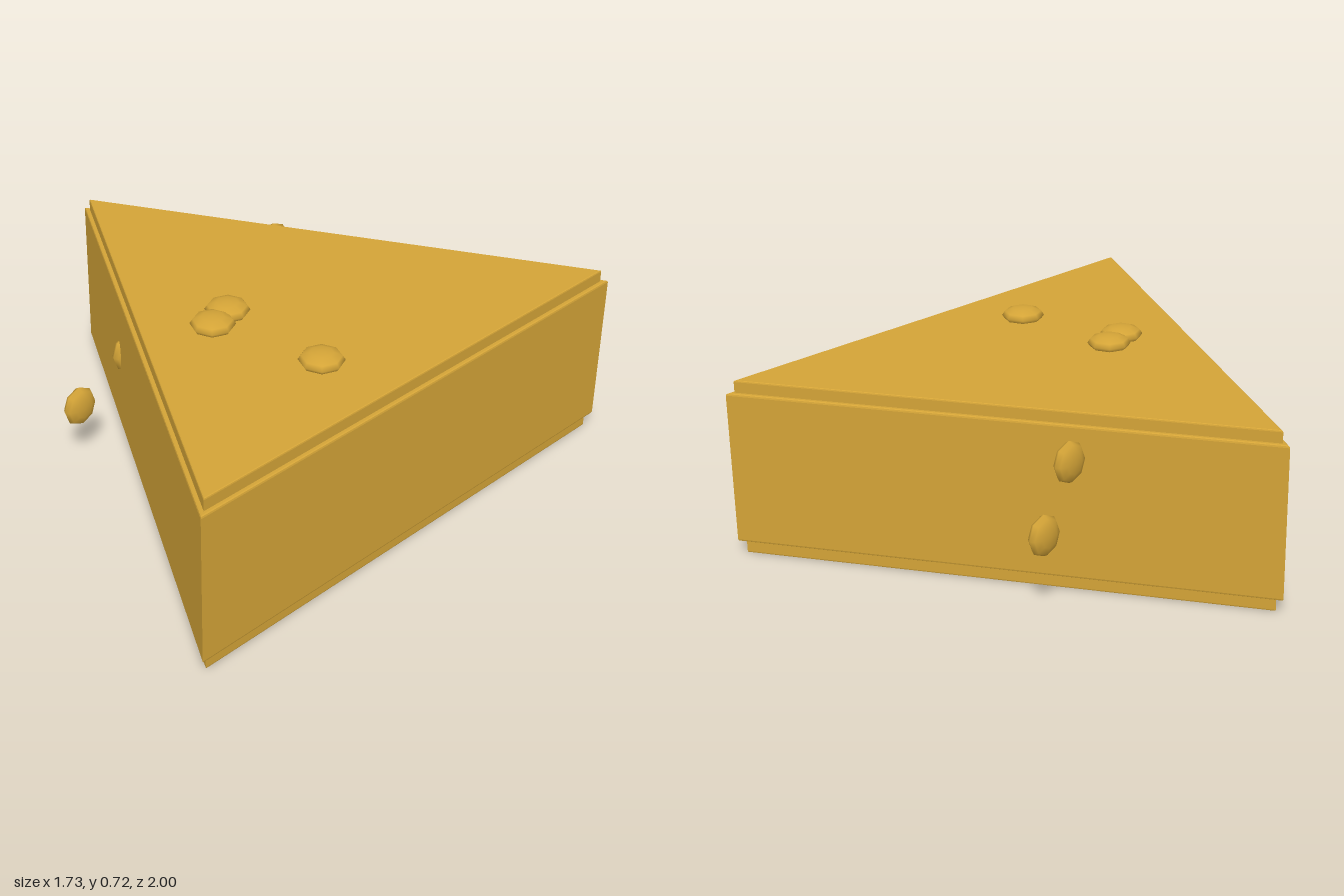
import * as THREE from 'three';

// Bevelled triangular slab between two heights, inset evenly from the full wedge outline
function wedge(name, inset, y0, y1, bevel, material) {
  const tip = -0.866 + 2 * inset;
  const back = 0.866 - inset;
  const half = 1 - Math.sqrt(3) * inset;
  const shape = new THREE.Shape([
    new THREE.Vector2(tip, 0),
    new THREE.Vector2(back, -half),
    new THREE.Vector2(back, half),
  ]);
  const geometry = new THREE.ExtrudeGeometry(shape, {
    depth: y1 - y0 - 2 * bevel,
    bevelThickness: bevel,
    bevelSize: bevel,
    bevelOffset: -bevel,
    bevelSegments: 2,
  });
  geometry.rotateX(-Math.PI / 2);
  geometry.translate(0, y0 + bevel, 0);
  const mesh = new THREE.Mesh(geometry, material);
  mesh.name = name;
  return mesh;
}

export function createModel() {
  const model = new THREE.Group();
  model.name = 'cheeseWedge';
  const cheese = new THREE.MeshStandardMaterial({ color: 0xd4a437 });
  cheese.name = 'golden cheese';

  // Main body with a slightly smaller layer below and above
  model.add(
    wedge('body', 0, 0.05, 0.63, 0.008, cheese),
    wedge('bottomLayer', 0.0155, 0, 0.06, 0.006, cheese),
    wedge('topLayer', 0.0155, 0.62, 0.676, 0.006, cheese),
  );

  // Flattened blobs lying on the top
  const topBlob = new THREE.SphereGeometry(0.08, 8, 6);
  topBlob.scale(1, 0.4, 1);
  for (const [x, z] of [[0.13, 0.19], [0.163, 0.29], [0.577, 0.185]]) {
    const blob = new THREE.Mesh(topBlob, cheese);
    blob.name = 'topBlob';
    blob.position.set(x, 0.689, z);
    model.add(blob);
  }

  // Upright blobs beside the two slanted faces
  const sideBlob = new THREE.SphereGeometry(0.08, 8, 6);
  sideBlob.rotateZ(Math.PI / 2);
  sideBlob.scale(0.4, 0.97, 0.86);
  for (const [y, z] of [[0.37, 0.297], [0.243, 0.532], [0.54, -0.448], [0.31, -0.572]]) {
    const blob = new THREE.Mesh(sideBlob, cheese);
    blob.name = 'sideBlob';
    blob.position.set(-0.285, y, z);
    model.add(blob);
  }
  return model;
}
